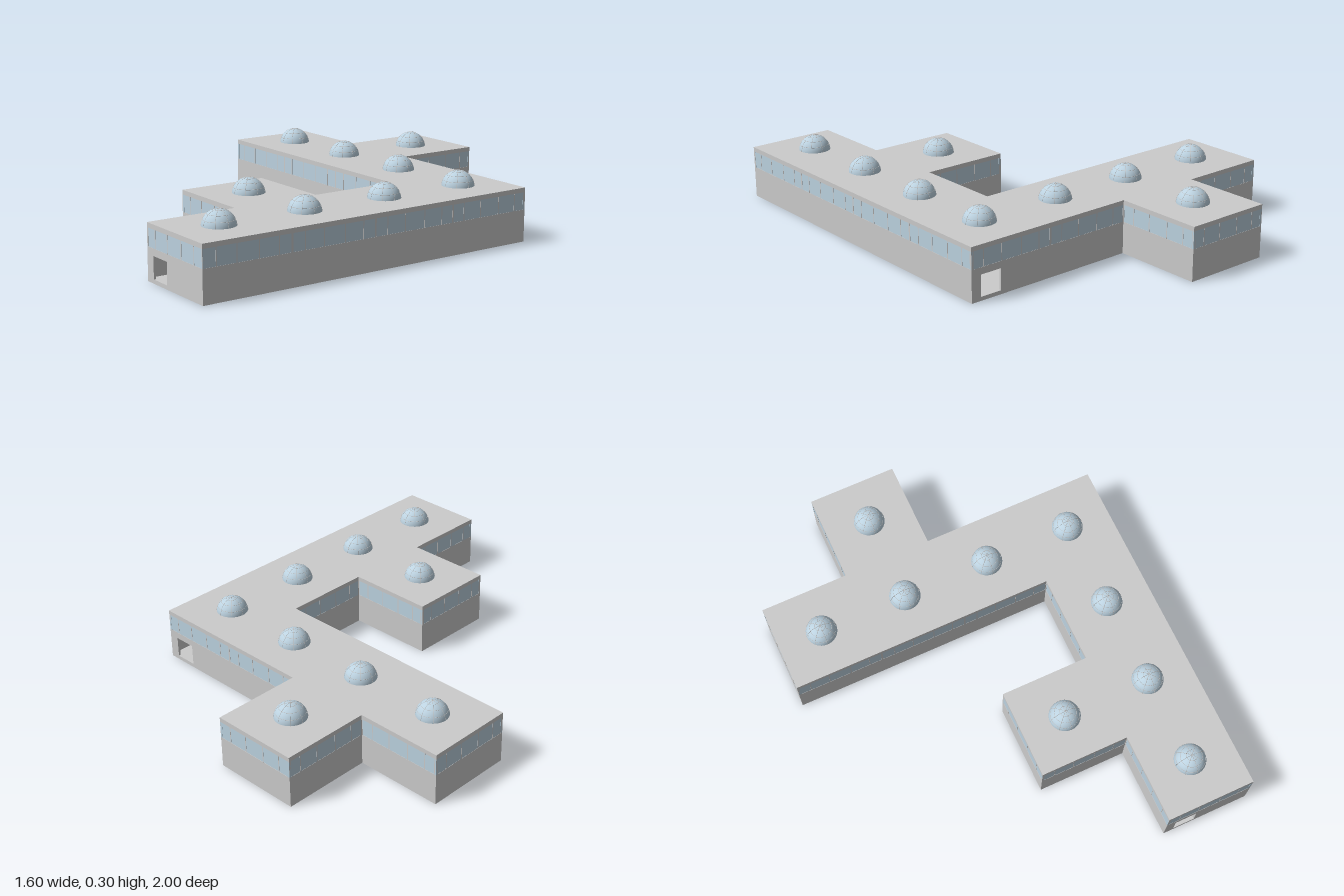
import * as THREE from 'three';

const FLOOR = 0.015, SILL = 0.14, HEAD = 0.215, TOP = 0.235, MODULE = 0.4, WALL = 0.01;

// Footprint corners (x, z), walked so that the outside is on the right-hand side
const OUTLINE = [
  [0.4, 1], [0.8, 1], [0.8, -0.6], [0, -0.6], [0, -1], [-0.4, -1], [-0.4, -0.6],
  [-0.8, -0.6], [-0.8, -0.2], [0.4, -0.2], [0.4, 0.2], [0, 0.2], [0, 0.6], [0.4, 0.6],
];
const DOOR_EDGES = [0, 2];

// Dome centres (x, z), one per square module
const DOMES = [
  [-0.6, -0.4], [-0.2, -0.4], [0.2, -0.4], [0.6, -0.4],
  [-0.2, -0.8], [0.6, 0], [0.6, 0.4], [0.2, 0.4], [0.6, 0.8],
];

export function createModel() {
  const model = new THREE.Group();
  model.name = 'modularBuilding';
  const grey = new THREE.MeshStandardMaterial({ color: 0xcccccc });
  const glass = new THREE.MeshStandardMaterial({ color: 0xbcd2e0 });

  function add(parent, name, geometry, material, x = 0, y = 0, z = 0) {
    const mesh = new THREE.Mesh(geometry, material);
    mesh.name = name;
    mesh.position.set(x, y, z);
    parent.add(mesh);
    return mesh;
  }

  // Floor and roof slabs share the footprint
  const footprint = new THREE.Shape(OUTLINE.map(([x, z]) => new THREE.Vector2(x, -z)));
  const slab = (depth) =>
    new THREE.ExtrudeGeometry(footprint, { depth, bevelEnabled: false }).rotateX(-Math.PI / 2);
  add(model, 'floor', slab(FLOOR), grey);
  add(model, 'roof', slab(TOP - HEAD), grey, 0, HEAD, 0);

  // One wall per footprint edge: local x along the wall, local z outward
  OUTLINE.forEach(([x, z], i) => {
    const [nx, nz] = OUTLINE[(i + 1) % OUTLINE.length];
    const length = Math.hypot(nx - x, nz - z);
    const side = new THREE.Group();
    side.name = 'facade';
    side.position.set(x, 0, z);
    side.rotation.y = Math.atan2(-(nz - z), nx - x);
    model.add(side);

    // Lower wall, with a door opening where needed
    const panel = new THREE.Shape()
      .moveTo(0, FLOOR).lineTo(length, FLOOR).lineTo(length, SILL).lineTo(0, SILL).closePath();
    if (DOOR_EDGES.includes(i)) {
      panel.holes.push(new THREE.Path()
        .moveTo(0.045, FLOOR + 0.002).lineTo(0.045, 0.11).lineTo(0.145, 0.11)
        .lineTo(0.145, FLOOR + 0.002).closePath());
    }
    const wall = new THREE.ExtrudeGeometry(panel, { depth: WALL, bevelEnabled: false });
    add(side, 'wall', wall, grey, 0, 0, -WALL);

    // Continuous window band
    const middle = (SILL + HEAD) / 2, height = HEAD - SILL;
    add(side, 'windowBand', new THREE.BoxGeometry(length, height, WALL), glass,
      length / 2, middle, -WALL / 2 - 0.001);

    // Slim mullions repeated on every module
    const mullion = new THREE.BoxGeometry(0.004, height, WALL);
    for (let m = 0; m < Math.round(length / MODULE); m++) {
      for (const offset of [0.002, 0.06, 0.15, 0.25, 0.34, 0.398]) {
        add(side, 'mullion', mullion, grey, m * MODULE + offset, middle, -WALL / 2);
      }
    }
  });

  // Glazed roof domes with thin ribs
  const R = 0.07, BASE = 0.23;
  const shell = new THREE.SphereGeometry(R, 32, 12, 0, Math.PI * 2, 0, Math.PI / 2);
  const meridian = new THREE.TorusGeometry(R, 0.0009, 4, 24, Math.PI);
  for (const [x, z] of DOMES) {
    const dome = new THREE.Group();
    dome.name = 'roofDome';
    dome.position.set(x, BASE, z);
    model.add(dome);
    add(dome, 'domeGlass', shell, glass);
    for (let k = 0; k < 4; k++) {
      add(dome, 'domeRib', meridian, grey).rotation.y = k * Math.PI / 4;
    }
    for (const angle of [0.35, 0.75, 1.15]) {
      const ring = new THREE.TorusGeometry(R * Math.sin(angle), 0.0009, 4, 32).rotateX(Math.PI / 2);
      add(dome, 'domeRing', ring, grey, 0, R * Math.cos(angle), 0);
    }
  }
  return model;
}
